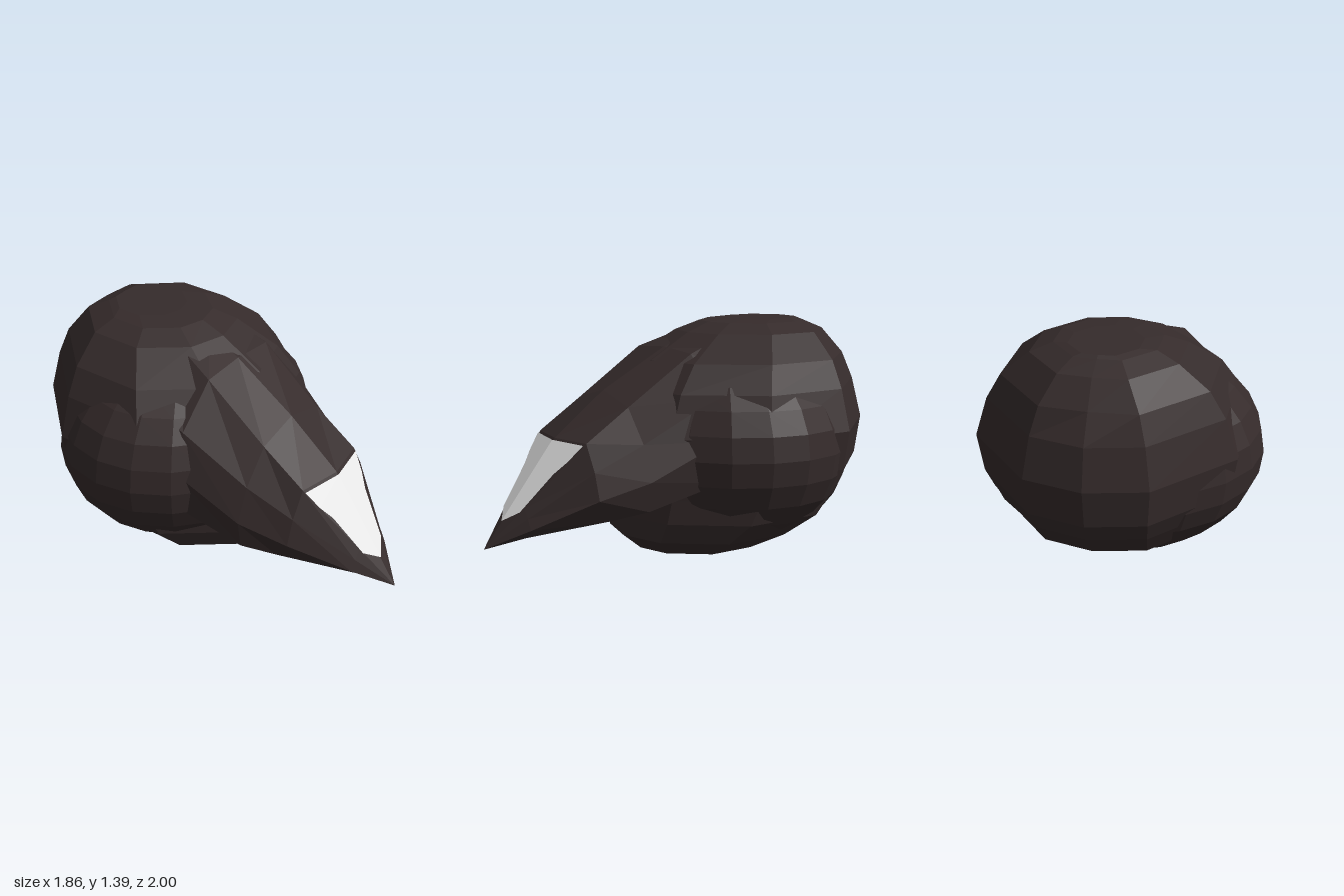
import * as THREE from 'three';

const V = (x, y, z) => new THREE.Vector3(x, y, z);

// Faceted skin over a list of equal-length rings; collapsed triangles are dropped
function loft(rings) {
  const out = [];
  const tri = (a, b, c) => {
    const n = b.clone().sub(a).cross(c.clone().sub(a));
    if (n.length() > 1e-7) out.push(...a.toArray(), ...b.toArray(), ...c.toArray());
  };
  for (let i = 0; i < rings.length - 1; i++) {
    const p = rings[i], q = rings[i + 1], n = p.length;
    for (let j = 0; j < n; j++) {
      const k = (j + 1) % n;
      tri(p[j], p[k], q[k]);
      tri(p[j], q[k], q[j]);
    }
  }
  const g = new THREE.BufferGeometry();
  g.setAttribute('position', new THREE.Float32BufferAttribute(out, 3));
  g.computeVertexNormals();
  return g;
}

export function createModel() {
  const model = new THREE.Group();
  model.name = 'birdHead';
  const dark = new THREE.MeshStandardMaterial({ color: 0x352b2b, flatShading: true });
  dark.name = 'dark brown';
  const white = new THREE.MeshStandardMaterial({ color: 0xf0f0f0, flatShading: true, side: THREE.DoubleSide });
  white.name = 'white';

  // Everything is built facing local +z, then turned towards the corner
  const head = new THREE.Group();
  head.name = 'head';
  head.rotation.y = Math.PI / 4;
  model.add(head);
  const add = (name, geometry, material) => {
    const mesh = new THREE.Mesh(geometry, material);
    mesh.name = name;
    head.add(mesh);
    return mesh;
  };

  // Skull: stacked uneven decagons [height, radius, centre z]; the crown is flatter at the back
  const half = [30, 70, 110.5, 154.4];
  const angles = [0, ...half, 180, ...half.map(a => 360 - a).reverse()];
  const levels = [
    [0.005, 0, 0.02], [0.005, 0.12, 0.02], [0.065, 0.4, 0], [0.16, 0.58, -0.06],
    [0.28, 0.7, -0.17], [0.42, 0.75, -0.23], [0.55, 0.79, -0.27], [0.78, 0.83, -0.265],
    [1.02, 0.75, -0.29], [1.18, 0.65, -0.33], [1.33, 0.46, -0.4], [1.385, 0.32, -0.41],
    [1.4, 0.22, -0.48], [1.4, 0, -0.48],
  ];
  add('skull', loft(levels.map(([y, r, cz]) => angles.map(deg => {
    const a = THREE.MathUtils.degToRad(deg);
    const flat = deg === 180 && y > 1.1 ? 0.93 : 1;
    return V(0.055 + 0.975 * r * Math.sin(a), y, cz + flat * r * Math.cos(a));
  }))), dark);

  // Cheeks: one large faceted ellipsoid bulging out of both sides of the skull
  const ball = new THREE.SphereGeometry(1, 20, 14);
  ball.scale(0.85, 0.64, 0.72);
  const cheeks = ball.toNonIndexed();
  cheeks.computeVertexNormals();
  add('cheeks', cheeks, dark).position.set(0.035, 0.66, -0.2);

  // Face and beak: cross-sections from the brow to the tip.
  // z, midline x, then half outline [x, y, optional z offset] from ridge to underside
  const sections = [
    [-0.02, 0.03, [[0, 1.34], [0.24, 1.31], [0.54, 1.09], [0.62, 0.85], [0.6, 0.57], [0, 0.4]]],
    [0.2, 0.01, [[0, 1.25], [0.28, 1.23], [0.52, 1.0], [0.6, 0.77], [0.59, 0.53], [0, 0.34]]],
    [0.6, -0.02, [[0, 1.02], [0.27, 0.95], [0.43, 0.76], [0.51, 0.56], [0.48, 0.39], [0, 0.31]]],
    [0.87, -0.025, [[0, 0.77, 0.05], [0.27, 0.77], [0.36, 0.62], [0.41, 0.47], [0.37, 0.34, -0.1], [0, 0.31, -0.05]]],
    [1.17, -0.038, [[0, 0.435], [0.105, 0.41], [0.15, 0.36], [0.185, 0.3], [0.12, 0.245], [0, 0.24]]],
    [1.365, -0.05, Array(6).fill([0, 0.18])],
  ];
  const mirrorRing = ([z, mid, pts]) => {
    const at = (p, side) => V(mid + side * p[0], p[1], z + (p[2] || 0));
    const inner = pts.slice(1, -1);
    return [at(pts[0], 1), ...inner.map(p => at(p, -1)), at(pts[pts.length - 1], 1),
      ...inner.map(p => at(p, 1)).reverse()];
  };
  add('faceAndBeak', loft(sections.map(mirrorRing)), dark);

  // White beak blaze: thin faces lying just over the two front facets
  const blaze = [[0, 0.76], [0.265, 0.76], [0.225, 0.67], [0.175, 0.6], [0.1, 0.39], [0, 0.33]];
  const onBeak = ([x, y], side) =>
    V(-0.027 - 0.038 * (0.77 - y) + side * x, y, 0.928 - 0.185 * x + (0.77 - y) * 0.746);
  const faces = [];
  for (const side of [1, -1]) {
    const p = blaze.map(b => onBeak(b, side));
    for (let i = 1; i < p.length - 1; i++) {
      const order = side > 0 ? [0, i + 1, i] : [0, i, i + 1];
      for (const k of order) faces.push(...p[k].toArray());
    }
  }
  const blazeGeometry = new THREE.BufferGeometry();
  blazeGeometry.setAttribute('position', new THREE.Float32BufferAttribute(faces, 3));
  blazeGeometry.computeVertexNormals();
  add('beakBlaze', blazeGeometry, white);

  return model;
}
